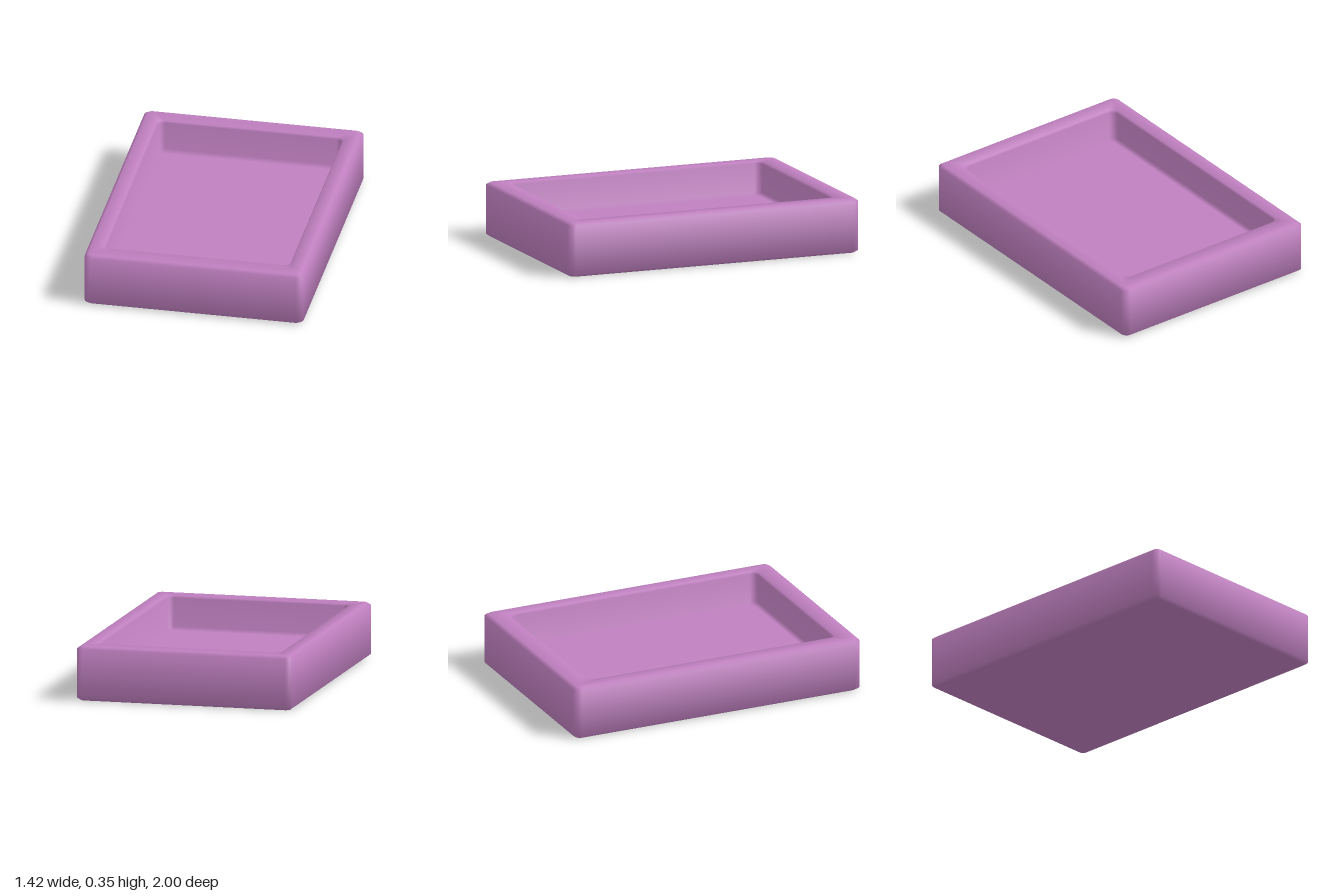
import * as THREE from 'three';

const ARC = 5; // segments in each rounded corner

// Rounded rectangle in the xz plane, with the outward direction at each point
function outline(hx, hz, r) {
  const pts = [];
  [[1, 1], [-1, 1], [-1, -1], [1, -1]].forEach(([sx, sz], q) => {
    for (let i = 0; i <= ARC; i++) {
      const a = (q + i / ARC) * Math.PI / 2;
      const c = Math.cos(a), s = Math.sin(a);
      pts.push({ x: sx * (hx - r) + r * c, z: sz * (hz - r) + r * s, c, s });
    }
  });
  return pts;
}

// Cross-section from the underside, up the outer wall, over the rim, down to the floor:
// half width, half length, corner radius, height
const profile = [
  [0.688, 0.978, 0.03, 0],
  [0.71, 1.0, 0.042, 0.016],
  [0.71, 1.0, 0.042, 0.334],
  [0.688, 0.978, 0.03, 0.35],
  [0.605, 0.87, 0.045, 0.35],
  [0.597, 0.86, 0.04, 0.338],
  [0.597, 0.86, 0.04, 0.152],
  [0.575, 0.838, 0.03, 0.13],
];

function trayGeometry() {
  const pos = [], nor = [], idx = [];
  const last = profile.length - 1;
  const segNormal = (k) => {
    const [a, , , ya] = profile[k], [b, , , yb] = profile[k + 1];
    return new THREE.Vector2(yb - ya, a - b).normalize();
  };
  // Smooth rings along the cross-section
  profile.forEach(([hx, hz, r, y], k) => {
    const n = k === 0 ? new THREE.Vector2(0, -1)
      : k === last ? new THREE.Vector2(0, 1)
      : segNormal(k - 1).add(segNormal(k)).normalize();
    for (const p of outline(hx, hz, r)) {
      pos.push(p.x, y, p.z);
      nor.push(n.x * p.c, n.y, n.x * p.s);
    }
  });
  const m = 4 * (ARC + 1);
  for (let k = 0; k < last; k++) {
    for (let i = 0; i < m; i++) {
      const j = (i + 1) % m;
      const a = k * m + i, b = k * m + j, c = a + m, d = b + m;
      idx.push(a, c, b, b, c, d);
    }
  }
  // Flat underside and flat floor
  const under = pos.length / 3, floor = under + 1;
  pos.push(0, profile[0][3], 0, 0, profile[last][3], 0);
  nor.push(0, -1, 0, 0, 1, 0);
  for (let i = 0; i < m; i++) {
    const j = (i + 1) % m;
    idx.push(under, i, j, floor, last * m + j, last * m + i);
  }
  const g = new THREE.BufferGeometry();
  g.setAttribute('position', new THREE.Float32BufferAttribute(pos, 3));
  g.setAttribute('normal', new THREE.Float32BufferAttribute(nor, 3));
  g.setIndex(idx);
  return g;
}

export function createModel() {
  const group = new THREE.Group();
  group.name = 'tray';
  const body = new THREE.Mesh(trayGeometry(), new THREE.MeshStandardMaterial({ color: 0xc080c0 }));
  body.name = 'trayBody';
  group.add(body);
  return group;
}
